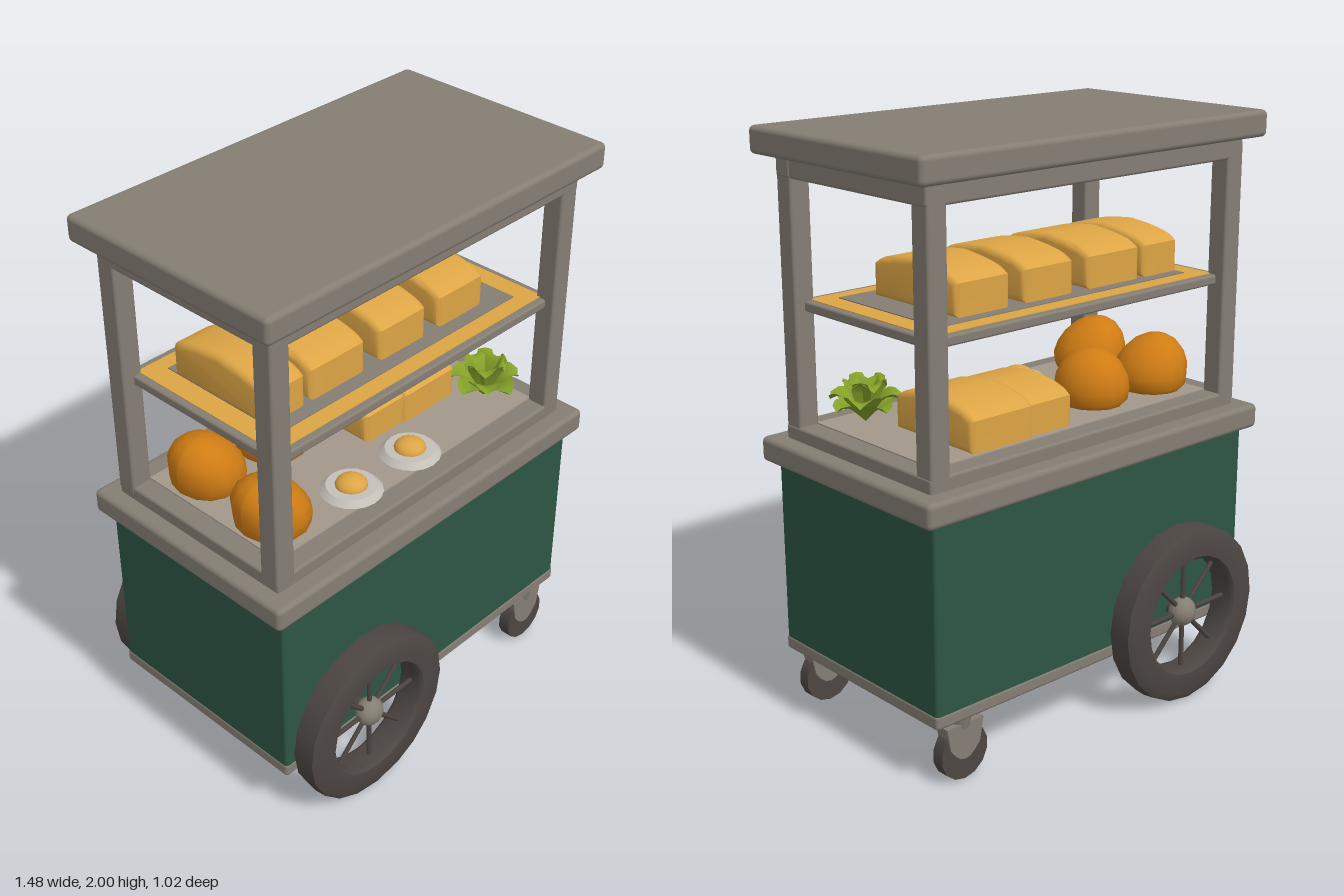
import * as THREE from 'three';
import { toCreasedNormals } from 'three/addons/utils/BufferGeometryUtils.js';
import { RoundedBoxGeometry } from 'three/addons/geometries/RoundedBoxGeometry.js';

const paint = (name, color, side = THREE.FrontSide) => {
  const m = new THREE.MeshStandardMaterial({ color, side });
  m.name = name;
  return m;
};

export function createModel() {
  const grey = paint('warm grey frame', 0x857e74);
  const green = paint('cart green', 0x2d5644);
  const rubber = paint('dark rubber', 0x4c4642);
  const crust = paint('golden crust', 0xdda545);
  const bunBrown = paint('orange bun', 0xcf7c14);
  const board = paint('honey board', 0xcb962f);
  const worktop = paint('pale worktop', 0xa2988b);
  const eggWhite = paint('egg white', 0xc4c0b8);
  const leafGreen = paint('lettuce green', 0x86a22a, THREE.DoubleSide);

  const cart = new THREE.Group();
  cart.name = 'foodCart';

  const add = (parent, name, geometry, material, x = 0, y = 0, z = 0) => {
    const mesh = new THREE.Mesh(geometry, material);
    mesh.name = name;
    mesh.position.set(x, y, z);
    parent.add(mesh);
    return mesh;
  };
  // Box given by its lower and upper height, with softened edges when r > 0
  const slab = (name, w, y0, y1, d, material, r = 0, x = 0, z = 0) =>
    add(cart, name, r ? new RoundedBoxGeometry(w, y1 - y0, d, 2, r) : new THREE.BoxGeometry(w, y1 - y0, d),
      material, x, (y0 + y1) / 2, z);
  const group = (name, x, y, z, parent = cart) => {
    const g = new THREE.Group();
    g.name = name;
    g.position.set(x, y, z);
    parent.add(g);
    return g;
  };

  // Cabinet
  slab('cabinet', 1.39, 0.25, 0.92, 0.8, green, 0.012);
  slab('baseTrim', 1.395, 0.22, 0.27, 0.805, grey, 0.012);
  slab('cabinetFloor', 1.34, 0.216, 0.222, 0.75, green);
  slab('counter', 1.48, 0.9, 0.985, 0.87, grey, 0.018);
  slab('counterRim', 1.36, 0.97, 1.032, 0.74, grey, 0.01);
  slab('worktop', 1.22, 1.03, 1.036, 0.6, worktop);

  // Display frame and roof
  for (const x of [-0.645, 0.64])
    for (const z of [-0.333, 0.333]) slab('cornerPost', 0.075, 1.0, 1.9, 0.075, grey, 0.01, x, z);
  for (const z of [-0.333, 0.333]) slab('longTopBeam', 1.36, 1.84, 1.92, 0.074, grey, 0.01, 0, z);
  for (const x of [-0.645, 0.64]) slab('shortTopBeam', 0.074, 1.84, 1.92, 0.73, grey, 0.01, x);
  slab('roof', 1.48, 1.91, 2.0, 0.85, grey, 0.018);
  slab('ceiling', 1.22, 1.904, 1.912, 0.6, board);

  // Shelf
  slab('shelf', 1.28, 1.413, 1.447, 0.67, grey, 0.008);
  slab('shelfTop', 1.23, 1.445, 1.449, 0.62, crust);
  slab('shelfTray', 1.08, 1.447, 1.452, 0.5, grey);
  slab('shelfUnderside', 1.23, 1.411, 1.415, 0.62, board);

  // Big spoked wheels
  const tyreProfile = [[0.205, -0.04], [0.215, -0.052], [0.285, -0.055], [0.312, -0.04], [0.316, 0],
    [0.312, 0.04], [0.285, 0.055], [0.215, 0.052], [0.205, 0.04], [0.205, -0.04]]
    .map(([r, h]) => new THREE.Vector2(r, h));
  const tyre = toCreasedNormals(new THREE.LatheGeometry(tyreProfile, 20).rotateX(Math.PI / 2), 0.7);
  for (const s of [-1, 1]) {
    const wheel = group('bigWheel', -0.36, 0.318, s * 0.453);
    add(wheel, 'tyre', tyre, rubber);
    for (let i = 0; i < 8; i++) {
      const a = (i * Math.PI) / 4;
      const spoke = add(wheel, 'spoke', new THREE.CylinderGeometry(0.009, 0.009, 0.2, 6), rubber,
        Math.sin(a) * 0.115, Math.cos(a) * 0.115, 0);
      spoke.rotation.z = -a;
    }
    add(wheel, 'hub', new THREE.SphereGeometry(0.052, 14, 10), grey).scale.z = 0.85;
    add(wheel, 'axle', new THREE.CylinderGeometry(0.025, 0.025, 0.08, 10).rotateX(Math.PI / 2), rubber, 0, 0, -s * 0.04);
  }

  // Casters with rounded forks
  const forkShape = new THREE.Shape();
  forkShape.moveTo(-0.075, 0.2);
  forkShape.lineTo(-0.06, 0.12);
  forkShape.quadraticCurveTo(0, 0.03, 0.06, 0.12);
  forkShape.lineTo(0.075, 0.2);
  const fork = new THREE.ExtrudeGeometry(forkShape, { depth: 0.054, bevelEnabled: false, curveSegments: 6 })
    .translate(0, 0, -0.027);
  for (const s of [-1, 1]) {
    const caster = group('caster', 0.57, 0, s * 0.36);
    add(caster, 'casterFork', fork, grey);
    add(caster, 'casterMount', new THREE.CylinderGeometry(0.04, 0.03, 0.05, 12), grey, 0, 0.205, 0);
    add(caster, 'casterWheel', new THREE.CylinderGeometry(0.095, 0.095, 0.044, 14).rotateX(Math.PI / 2),
      rubber, 0, 0.098, 0);
  }

  // Bread: an arched cross-section swept along x with soft edges
  const loaf = (name, x0, x1, y, h, z0, z1) => {
    const b = 0.022, half = (z1 - z0) / 2 - b;
    const s = new THREE.Shape();
    s.moveTo(-half, b);
    s.lineTo(half, b);
    s.lineTo(half, h * 0.76 - b);
    s.quadraticCurveTo(half * 0.85, h * 0.92 - b, 0, h - b);
    s.quadraticCurveTo(-half * 0.85, h * 0.92 - b, -half, h * 0.76 - b);
    const depth = x1 - x0 - 2 * b;
    const g = new THREE.ExtrudeGeometry(s, { depth, bevelSize: b, bevelThickness: b, bevelSegments: 3, curveSegments: 6 });
    g.translate(0, 0, -depth / 2).rotateY(Math.PI / 2);
    add(cart, name, toCreasedNormals(g, 0.8), crust, (x0 + x1) / 2, y, (z0 + z1) / 2);
  };
  for (const [x0, x1] of [[-0.55, -0.38], [-0.365, -0.12], [-0.06, 0.16], [0.215, 0.44]])
    loaf('shelfLoaf', x0, x1, 1.449, 0.158, -0.21, 0.2);
  loaf('counterLoafHalf', 0.01, 0.21, 1.033, 0.155, -0.28, 0.08);
  loaf('counterLoafHalf', 0.19, 0.45, 1.033, 0.158, -0.29, 0.09);

  // Buns: domes with a flat base and a crown leaning to one side
  const bun = (x, z, lean) => {
    const g = new THREE.SphereGeometry(1, 14, 10);
    const p = g.attributes.position;
    for (let i = 0; i < p.count; i++) {
      const y = Math.max(p.getY(i), -0.45);
      p.setXYZ(i, p.getX(i) * 0.125 + lean * Math.max(y, 0), y * 0.132, p.getZ(i) * 0.132);
    }
    g.computeVertexNormals();
    add(cart, 'bun', g, bunBrown, x, 1.092, z);
  };
  bun(-0.215, -0.14, 0);
  bun(-0.49, -0.15, -0.03);
  bun(-0.495, 0.155, -0.04);

  // Fried eggs
  for (const [x, z] of [[-0.2, 0.215], [0.08, 0.215]]) {
    const egg = group('friedEgg', x, 1.036, z);
    add(egg, 'eggWhite', new THREE.CylinderGeometry(0.085, 0.105, 0.02, 18), eggWhite, 0, 0.01, 0);
    add(egg, 'yolk', new THREE.SphereGeometry(0.055, 14, 6, 0, Math.PI * 2, 0, Math.PI / 2), crust, 0, 0.018, 0)
      .scale.y = 0.65;
  }

  // Lettuce: two rings of pointed, curling leaves
  const lettuce = group('lettuce', 0.5, 1.04, 0.18);
  const leaf = (turn, length, rise) => {
    const g = new THREE.PlaneGeometry(1, 1, 2, 5);
    const p = g.attributes.position;
    for (let i = 0; i < p.count; i++) {
      const t = p.getY(i) + 0.5, side = p.getX(i) * 2;
      const w = 0.012 + 0.05 * Math.sin(Math.PI * Math.min(t, 0.94));
      p.setXYZ(i, side * w, rise * Math.sin(t * 2.1) + 0.02 * Math.abs(side) + 0.005, t * length);
    }
    g.computeVertexNormals();
    add(lettuce, 'leaf', g, leafGreen).rotation.y = turn;
  };
  for (let i = 0; i < 8; i++) leaf((i * Math.PI) / 4, 0.115, 0.06 + 0.025 * (i % 2));
  for (let i = 0; i < 5; i++) leaf(i * 1.257 + 0.4, 0.07, 0.13);

  return cart;
}
